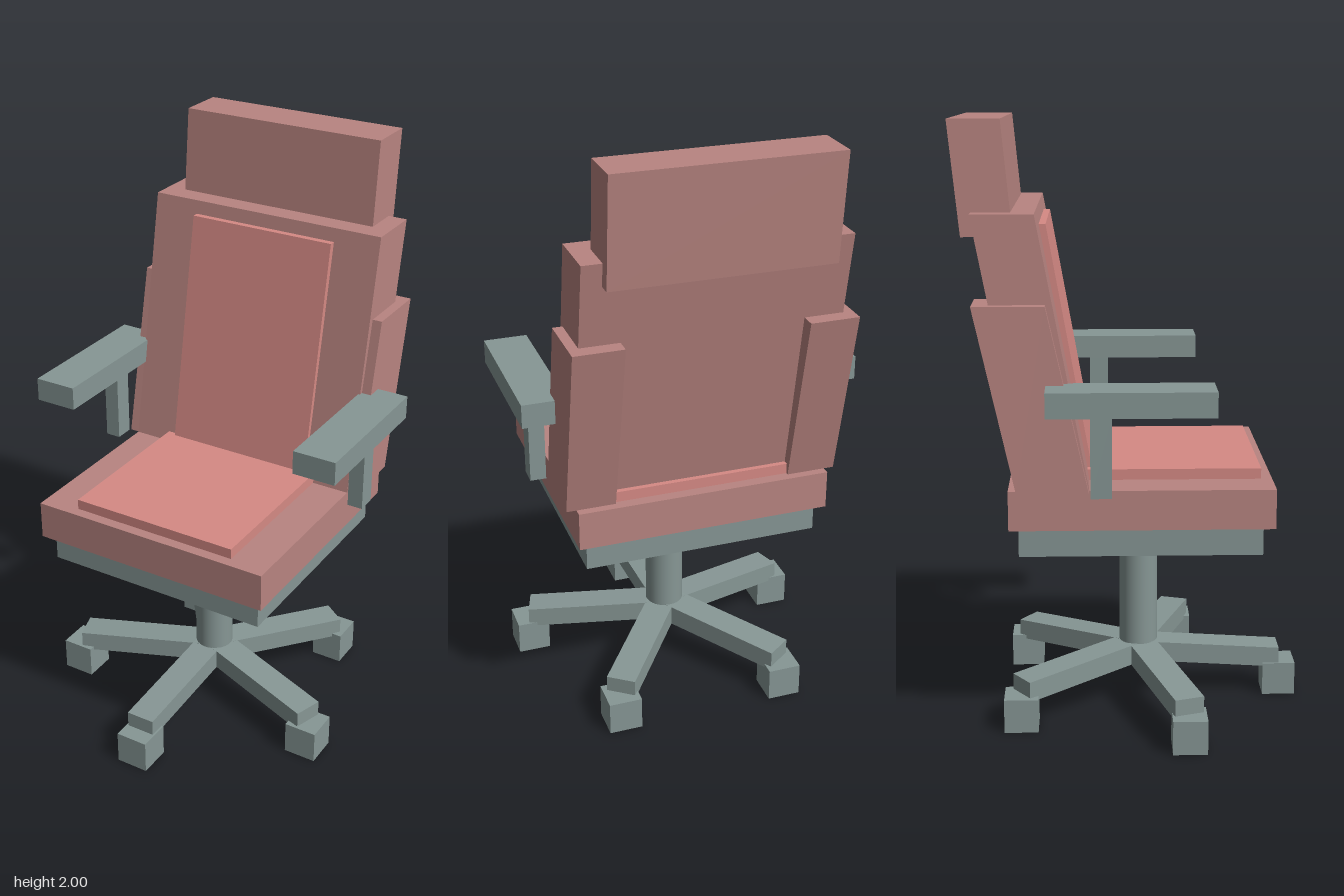
import * as THREE from 'three';

const material = (name, color) => {
  const m = new THREE.MeshStandardMaterial({ color });
  m.name = name;
  return m;
};

export function createModel() {
  const chair = new THREE.Group();
  chair.name = 'officeChair';
  const upholstery = material('dustyRose', 0xb98581);
  const padding = material('lightRose', 0xd68a85);
  const metal = material('greyGreen', 0x879795);

  const add = (name, geometry, mat, parent = chair) => {
    const mesh = new THREE.Mesh(geometry, mat);
    mesh.name = name;
    parent.add(mesh);
    return mesh;
  };

  // Box given by its limits on each axis
  const box = (name, mat, [x0, x1], [y0, y1], [z0, z1], parent) => {
    const g = new THREE.BoxGeometry(x1 - x0, y1 - y0, z1 - z0);
    g.translate((x0 + x1) / 2, (y0 + y1) / 2, (z0 + z1) / 2);
    return add(name, g, mat, parent);
  };

  // Leaning box: level top and bottom, with separate [back, front] z limits for each
  const leaningBox = (name, mat, [x0, x1], [y0, y1], bottomZ, topZ) => {
    const g = new THREE.BoxGeometry(x1 - x0, y1 - y0, 1);
    const p = g.attributes.position;
    for (let i = 0; i < p.count; i++) {
      const limits = p.getY(i) > 0 ? topZ : bottomZ;
      p.setZ(i, limits[p.getZ(i) > 0 ? 1 : 0]);
    }
    g.translate((x0 + x1) / 2, (y0 + y1) / 2, 0);
    g.computeVertexNormals();
    return add(name, g, mat);
  };

  // Seat
  box('seatPlate', metal, [-0.395, 0.395], [0.63, 0.725], [-0.37, 0.412]);
  box('seatCushion', upholstery, [-0.425, 0.425], [0.725, 0.855], [-0.4, 0.448]);
  box('seatPad', padding, [-0.295, 0.295], [0.85, 0.89], [-0.362, 0.412]);

  // Back
  leaningBox('backrest', upholstery, [-0.425, 0.425], [0.855, 1.72], [-0.338, -0.143], [-0.5, -0.305]);
  leaningBox('backPad', padding, [-0.262, 0.262], [0.86, 1.675], [-0.2, -0.13], [-0.35, -0.275]);
  leaningBox('headrest', upholstery, [-0.36, 0.36], [1.645, 2], [-0.533, -0.372], [-0.567, -0.405]);

  // Side bolsters and armrests
  for (const side of [1, -1]) {
    const span = (a, b) => (side > 0 ? [a, b] : [-b, -a]);
    const label = side > 0 ? 'left' : 'right';
    leaningBox(label + 'Bolster', upholstery, span(0.295, 0.458), [0.855, 1.445], [-0.372, -0.145], [-0.5, -0.275]);
    box(label + 'ArmPost', metal, span(0.462, 0.515), [0.855, 1.12], [-0.14, -0.073]);
    box(label + 'ArmPad', metal, span(0.418, 0.565), [1.12, 1.2], [-0.276, 0.247]);
  }

  // Column and five-legged base
  const base = new THREE.Group();
  base.name = 'base';
  base.position.z = 0.024;
  chair.add(base);
  const column = new THREE.CylinderGeometry(0.066, 0.066, 0.46, 32);
  add('column', column, metal, base).position.y = 0.4;

  const reach = 0.492;
  for (let i = 0; i < 5; i++) {
    const angle = (i * Math.PI * 2) / 5;
    // Leg slopes down towards its outer end, with upright end faces
    const g = new THREE.BoxGeometry(0.1, 0.07, reach);
    g.translate(0, 0.165, reach / 2);
    const p = g.attributes.position;
    for (let k = 0; k < p.count; k++) p.setY(k, p.getY(k) - (0.03 * p.getZ(k)) / reach);
    g.computeVertexNormals();
    add('leg' + (i + 1), g, metal, base).rotation.y = angle;

    const caster = add('caster' + (i + 1), new THREE.BoxGeometry(0.113, 0.115, 0.113), metal, base);
    caster.position.set(Math.sin(angle) * reach, 0.0575, Math.cos(angle) * reach);
  }
  return chair;
}
